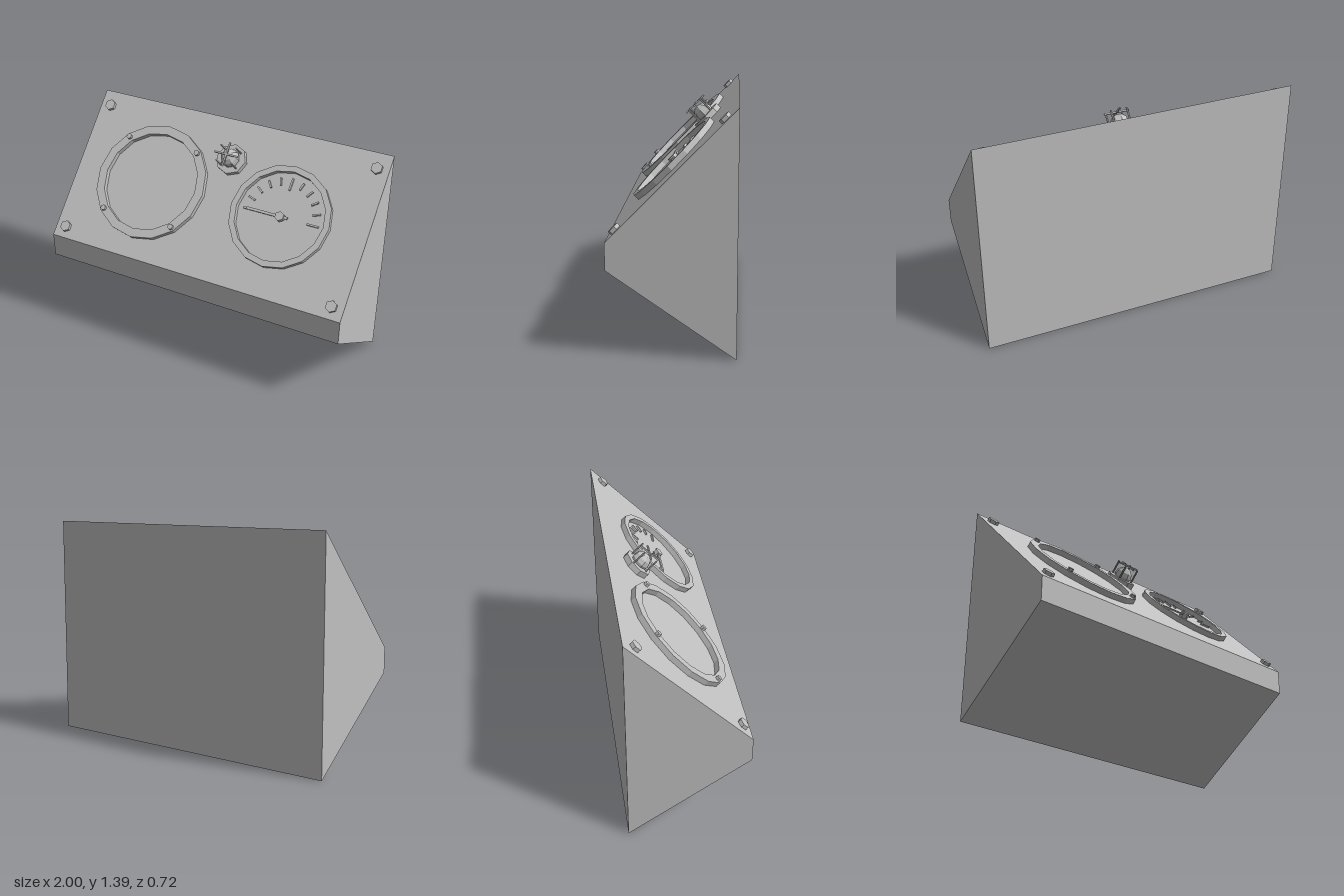
import * as THREE from 'three';

export function createModel() {
  const model = new THREE.Group();
  model.name = 'instrumentConsole';
  const grey = new THREE.MeshStandardMaterial({ color: 0xc0c0c0, flatShading: true });
  grey.name = 'plain grey';

  const add = (parent, name, geometry, x = 0, y = 0, z = 0) => {
    const mesh = new THREE.Mesh(geometry, grey);
    mesh.name = name;
    mesh.position.set(x, y, z);
    parent.add(mesh);
    return mesh;
  };

  // Wedge-shaped housing: side profile extruded across the width
  const profile = new THREE.Shape([[0.36, 0], [-0.36, 0.5], [-0.36, 0.655], [0.36, 1.39]]
    .map(([a, b]) => new THREE.Vector2(a, b)).reverse());
  const housing = new THREE.ExtrudeGeometry(profile, { depth: 2, bevelEnabled: false });
  housing.translate(0, 0, -1).rotateY(Math.PI / 2);
  add(model, 'housing', housing);

  // Sloping panel frame: local y runs up the slope, local z points out of it
  const panel = new THREE.Group();
  panel.name = 'panel';
  panel.position.set(0, 1.0225, 0);
  panel.rotation.x = -Math.atan2(0.72, 0.735);
  model.add(panel);

  // Upright prism standing on the panel
  const prism = (r, h, sides) =>
    new THREE.CylinderGeometry(r, r, h, sides).rotateX(Math.PI / 2).translate(0, 0, h / 2);

  // Sixteen-sided bezel ring
  const circle = (r) => Array.from({ length: 16 }, (_, i) =>
    new THREE.Vector2(Math.cos(i * Math.PI / 8) * r, Math.sin(i * Math.PI / 8) * r));
  const ring = (outer, inner, depth) => {
    const shape = new THREE.Shape(circle(outer));
    shape.holes.push(new THREE.Path(circle(inner).reverse()));
    return new THREE.ExtrudeGeometry(shape, { depth, bevelEnabled: false });
  };

  // Corner bolts
  for (const sx of [-1, 1]) for (const sy of [-1, 1])
    add(panel, 'cornerBolt', prism(0.036, 0.022, 6), sx * 0.925, -0.012 + sy * 0.428, 0);

  // Large bezel with its four small bolts
  const cy = -0.013, ringDepth = 0.035;
  add(panel, 'largeBezel', ring(0.376, 0.32, ringDepth), -0.443, cy, 0);
  for (const sx of [-1, 1]) for (const sy of [-1, 1])
    add(panel, 'bezelBolt', prism(0.018, 0.018, 6), -0.443 + sx * 0.247, cy + sy * 0.247, ringDepth);

  // Dial: bezel, scale marks, needle and hub
  const dial = new THREE.Group();
  dial.name = 'dial';
  dial.position.set(0.453, cy, 0);
  panel.add(dial);
  add(dial, 'dialBezel', ring(0.32, 0.283, ringDepth));
  for (let i = 0; i <= 10; i++) {
    const angle = i * Math.PI / 10;
    const length = i % 5 === 0 ? 0.075 : 0.048;
    const r = 0.247 - length / 2;
    add(dial, 'scaleMark', new THREE.BoxGeometry(length, 0.011, 0.012),
      Math.cos(angle) * r, Math.sin(angle) * r, 0.006).rotation.z = angle;
  }
  add(dial, 'needle', new THREE.BoxGeometry(0.27, 0.016, 0.01), -0.085, 0, 0.019);
  add(dial, 'hub', prism(0.03, 0.033, 6));

  // Warning lamp: base, dome and wire guard
  const lamp = new THREE.Group();
  lamp.name = 'warningLamp';
  lamp.position.set(0.035, 0.253, 0);
  panel.add(lamp);
  add(lamp, 'lampBase', prism(0.097, 0.036, 8));
  add(lamp, 'lampDome', new THREE.SphereGeometry(0.06, 8, 6).rotateX(Math.PI / 2), 0, 0, 0.052);
  add(lamp, 'guardCrossBar', new THREE.BoxGeometry(0.16, 0.01, 0.01), 0, 0, 0.126);
  add(lamp, 'guardLongBar', new THREE.BoxGeometry(0.01, 0.154, 0.01), 0, 0, 0.126);
  for (const sx of [-1, 1]) for (const sy of [-1, 1])
    add(lamp, 'guardPost', prism(0.006, 0.1, 6), sx * 0.051, sy * 0.049, 0.03);

  return model;
}
